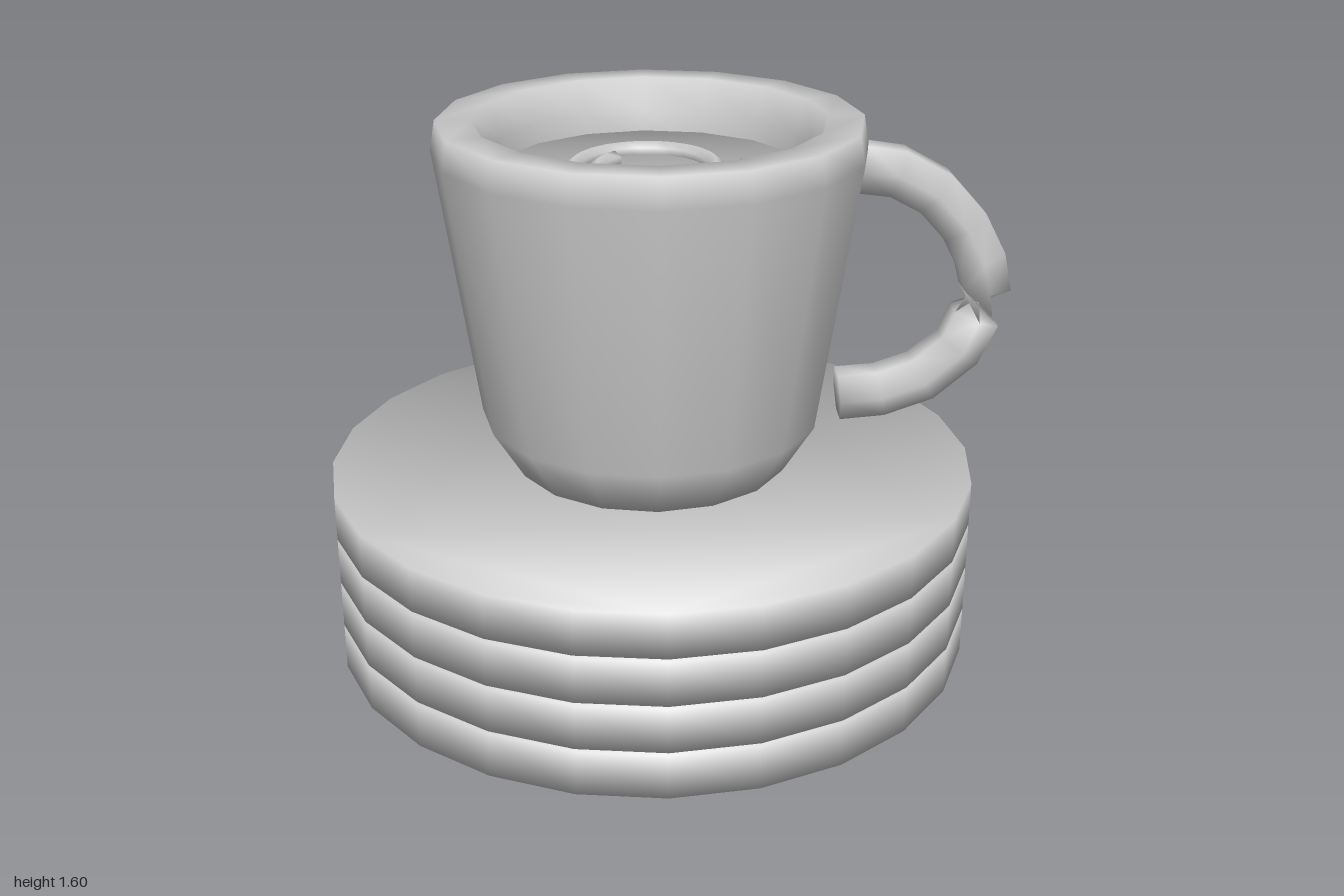
import * as THREE from 'three';
import { mergeVertices } from 'three/addons/utils/BufferGeometryUtils.js';

const CX = -0.047; // shared axis of cup and plates

// Flat disc whose side and faces share softened rim normals
function softDisc(radius, height, sides) {
  const shape = new THREE.Shape();
  for (let i = 0; i < sides; i++) {
    const a = (i / sides) * Math.PI * 2;
    shape[i ? 'lineTo' : 'moveTo'](radius * Math.cos(a), radius * Math.sin(a));
  }
  shape.closePath();
  let g = new THREE.ExtrudeGeometry(shape, { depth: height, bevelEnabled: false, steps: 1 });
  g.rotateX(-Math.PI / 2);
  g.deleteAttribute('normal');
  g.deleteAttribute('uv');
  g = mergeVertices(g, 1e-4);
  g.computeVertexNormals();
  const p = g.attributes.position, n = g.attributes.normal, v = new THREE.Vector3();
  for (let i = 0; i < p.count; i++) {
    const up = p.getY(i) > height / 2 ? 1 : -1;
    v.set(p.getX(i) / radius, up, p.getZ(i) / radius).normalize();
    n.setXYZ(i, v.x, v.y, v.z);
  }
  return g;
}

// Six-sided tube through [x, y, z] centres; from ring twistAt on, rings are turned half round
function hexTube(centres, radius, side, twistAt = Infinity) {
  const pts = centres.map((c) => new THREE.Vector3(...c));
  const pos = [], idx = [], last = pts.length - 1;
  pts.forEach((p, i) => {
    const t = pts[Math.min(i + 1, last)].clone().sub(pts[Math.max(i - 1, 0)]).normalize();
    const out = new THREE.Vector3().crossVectors(side, t).normalize();
    for (let k = 0; k < 6; k++) {
      const a = ((k + (i >= twistAt ? 3 : 0)) / 6) * Math.PI * 2;
      const v = p.clone().addScaledVector(side, radius * Math.cos(a)).addScaledVector(out, radius * Math.sin(a));
      pos.push(v.x, v.y, v.z);
    }
    if (i === last) return;
    for (let k = 0; k < 6; k++) {
      const a = i * 6 + k, b = i * 6 + ((k + 1) % 6);
      idx.push(a, b, a + 6, b, b + 6, a + 6);
    }
  });
  // end caps
  for (let k = 1; k < 5; k++) {
    idx.push(0, k + 1, k, last * 6, last * 6 + k, last * 6 + k + 1);
  }
  const g = new THREE.BufferGeometry();
  g.setAttribute('position', new THREE.Float32BufferAttribute(pos, 3));
  g.setIndex(idx);
  g.computeVertexNormals();
  return g;
}

export function createModel() {
  const model = new THREE.Group();
  const grey = new THREE.MeshStandardMaterial({ color: 0xcccccc });
  grey.name = 'plain grey';
  grey.side = THREE.DoubleSide;

  const add = (name, geometry, x = 0, y = 0, z = 0) => {
    const m = new THREE.Mesh(geometry, grey);
    m.name = name;
    m.position.set(x, y, z);
    model.add(m);
    return m;
  };

  // stack of four plates
  const plate = softDisc(0.953, 0.132, 24);
  for (let i = 0; i < 4; i++) add('plate' + (i + 1), plate, CX, i * 0.1417, 0);

  // cup: underside, wall, rounded rim and inside wall
  const profile = [
    [0, 0.57], [0.408, 0.57], [0.5, 0.72], [0.617, 1.51], [0.602, 1.595],
    [0.5, 1.595], [0.457, 1.5], [0.452, 1.41],
  ].map(([r, y]) => new THREE.Vector2(r, y));
  add('cup', new THREE.LatheGeometry(profile, 16), CX, 0, 0);

  // drink surface
  add('drink', softDisc(0.457, 0.03, 16), CX, 1.41, 0);

  // swirl lying on the drink
  const swirl = [];
  const steps = 40, start = Math.PI * 1.25, sweep = Math.PI * 3.25;
  for (let i = 0; i <= steps; i++) {
    const t = i / steps, a = start - sweep * t, r = 0.14 + 0.117 * t;
    swirl.push([r * Math.cos(a), 0, r * Math.sin(a)]);
  }
  add('swirl', hexTube(swirl, 0.029, new THREE.Vector3(0, 1, 0)), CX, 1.445, 0);

  // handle, with a half twist that pinches it in the middle
  const handle = [
    [0.55, 1.445, 0], [0.655, 1.43, 0], [0.765, 1.37, 0], [0.855, 1.27, 0], [0.91, 1.165, 0], [0.93, 1.078, 0],
    [0.905, 0.99, 0], [0.86, 0.89, 0], [0.755, 0.8, 0], [0.63, 0.757, 0], [0.508, 0.748, 0],
  ];
  add('handle', hexTube(handle, 0.08, new THREE.Vector3(0, 0, 1), 6));

  return model;
}
